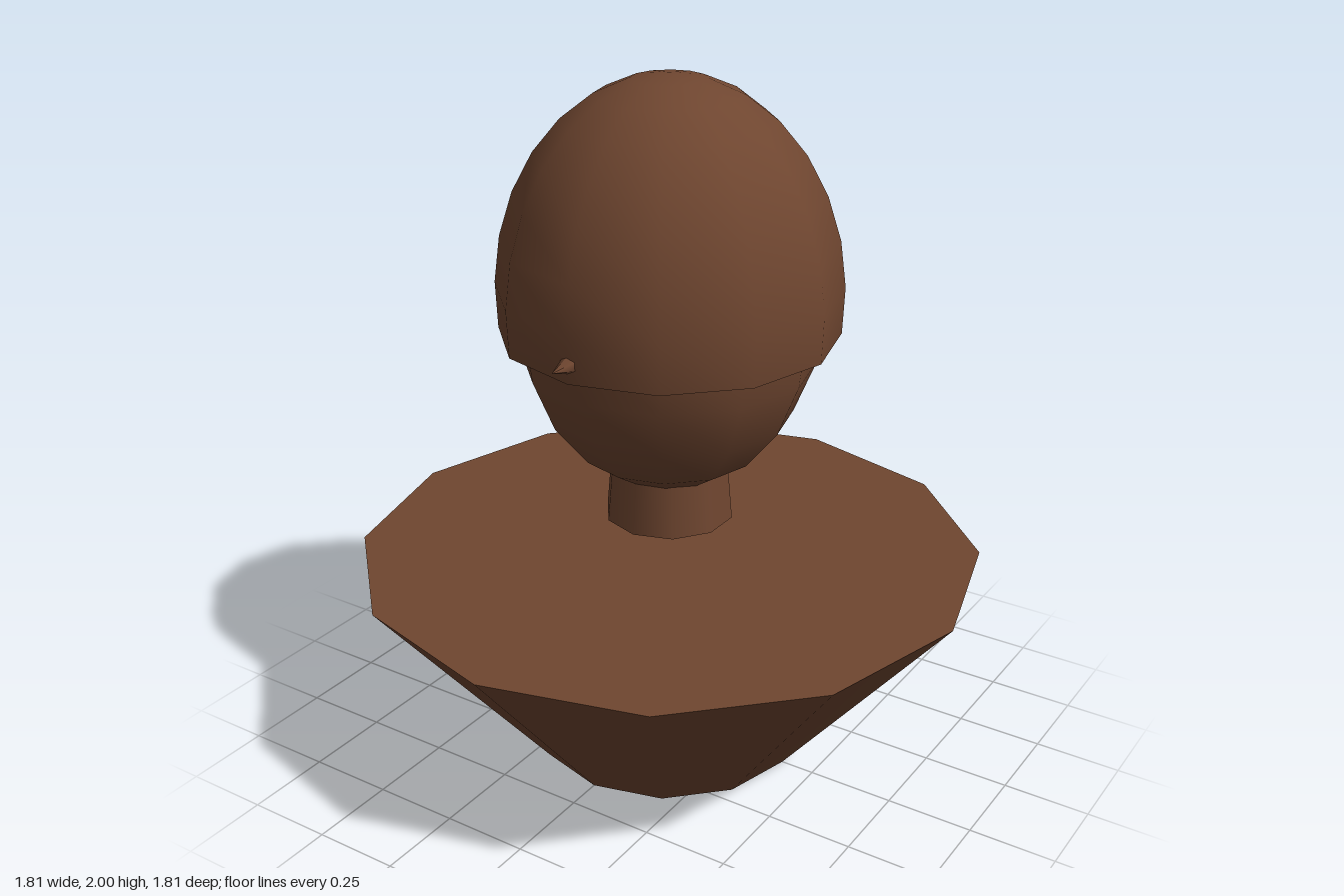
import * as THREE from 'three';

export function createModel() {
  const model = new THREE.Group();
  const brown = new THREE.MeshStandardMaterial({ color: 0x6f4630 });
  brown.name = 'brown';
  brown.side = THREE.DoubleSide;

  const add = (name, geometry, y, z = 0) => {
    const mesh = new THREE.Mesh(geometry, brown);
    mesh.name = name;
    mesh.position.set(0, y, z);
    model.add(mesh);
    return mesh;
  };

  // Flared twelve-sided shoulders, closed at both ends
  add('shoulders', new THREE.CylinderGeometry(0.905, 0.4, 0.61, 12), 0.305);

  // Tapered neck, floating above the shoulders and running up into the head
  add('neck', new THREE.CylinderGeometry(0.163, 0.187, 0.28, 10), 0.865);

  // Egg-shaped head
  add('head', new THREE.SphereGeometry(0.435, 12, 10).scale(1, 0.54 / 0.435, 1), 1.367);

  // Open shell of hair over the upper head
  const hair = new THREE.SphereGeometry(0.484, 12, 8, 0, Math.PI * 2, 0, Math.PI * 0.55);
  add('hair', hair.scale(1, 0.62 / 0.484, 1), 1.38);

  // Small pointed nose
  add('nose', new THREE.ConeGeometry(0.032, 0.09, 6).rotateX(Math.PI / 2), 1.335, 0.498);

  return model;
}
